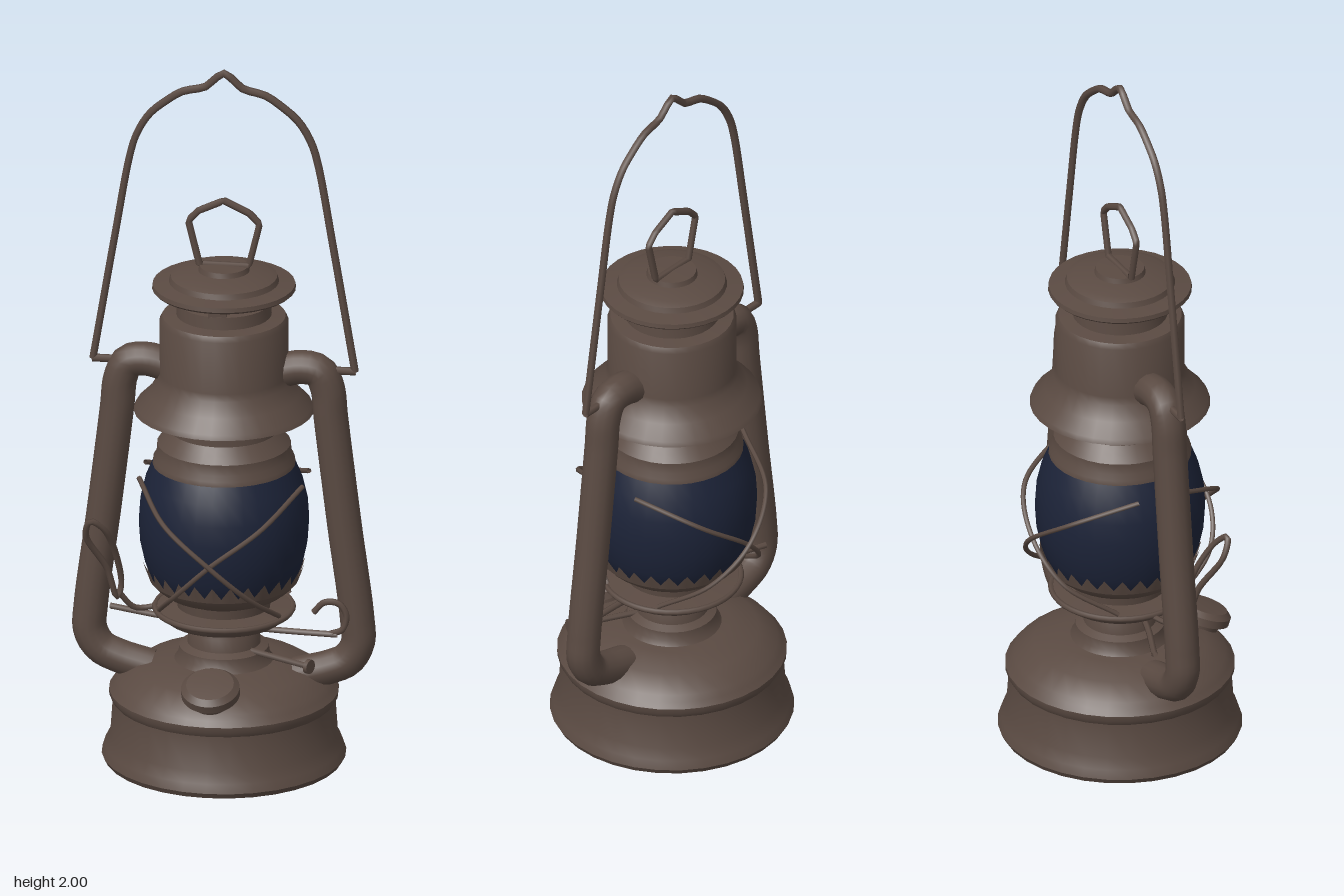
import * as THREE from 'three';
import { toCreasedNormals } from 'three/addons/utils/BufferGeometryUtils.js';

export function createModel() {
  const model = new THREE.Group();
  model.name = 'lantern';

  const metal = new THREE.MeshStandardMaterial({ color: 0x5a4a42, side: THREE.DoubleSide });
  metal.name = 'rusty metal';
  const glass = new THREE.MeshStandardMaterial({ color: 0x1c2338, side: THREE.DoubleSide });
  glass.name = 'dark blue glass';

  function add(name, geometry, material = metal) {
    const mesh = new THREE.Mesh(geometry, material);
    mesh.name = name;
    model.add(mesh);
    return mesh;
  }
  // Turned part from [radius, height] pairs, listed bottom to top
  function turned(name, profile, material) {
    const pts = profile.map(([r, y]) => new THREE.Vector2(r, y));
    return add(name, toCreasedNormals(new THREE.LatheGeometry(pts, 32), 0.6), material);
  }
  // Round wire or pipe through [x, y, z] points; straight = polyline corners
  function wire(name, points, radius, { straight = false, closed = false, sides = 6, steps = 40 } = {}) {
    const v = points.map(p => new THREE.Vector3(...p));
    let curve;
    if (straight) {
      curve = new THREE.CurvePath();
      const end = closed ? v.length : v.length - 1;
      for (let i = 0; i < end; i++) curve.add(new THREE.LineCurve3(v[i], v[(i + 1) % v.length]));
    } else {
      curve = new THREE.CatmullRomCurve3(v, closed, 'centripetal');
    }
    return add(name, new THREE.TubeGeometry(curve, steps, radius, sides, closed));
  }
  function ring(name, r, y, thickness) {
    const mesh = add(name, new THREE.TorusGeometry(r, thickness, 6, 40));
    mesh.rotation.x = Math.PI / 2;
    mesh.position.y = y;
  }

  // Fuel tank with rolled foot and domed shoulder
  turned('fuelTank', [[0, 0.005], [0.325, 0], [0.333, 0.015], [0.325, 0.04], [0.31, 0.07], [0.303, 0.17],
    [0.312, 0.185], [0.313, 0.2], [0.3, 0.215], [0.288, 0.23], [0.235, 0.265], [0.16, 0.285], [0, 0.295]]);

  // Filler cap, tilted towards the front
  const cap = turned('fillerCap', [[0.055, -0.04], [0.06, -0.012], [0.08, -0.01], [0.08, 0.012], [0.065, 0.026], [0, 0.032]]);
  cap.position.set(0, 0.283, 0.25);
  cap.rotation.x = 0.36;

  // Burner neck, plate and gallery holding the globe
  turned('burnerNeck', [[0.14, 0.28], [0.125, 0.3], [0.122, 0.325], [0.1, 0.335], [0.096, 0.37], [0.085, 0.395], [0.085, 0.41]]);
  turned('burnerPlate', [[0.08, 0.4], [0.16, 0.405], [0.178, 0.42], [0.185, 0.438], [0.13, 0.445]]);
  turned('gallery', [[0.125, 0.43], [0.13, 0.47], [0.165, 0.485], [0.19, 0.505], [0.205, 0.53]]);
  ring('lowerGuardRing', 0.188, 0.435, 0.008);

  // Crown of teeth gripping the globe
  const teeth = 28;
  const crown = new THREE.CylinderGeometry(0.221, 0.203, 0.05, teeth * 2, 1, true);
  const cp = crown.attributes.position;
  for (let i = 1; i <= teeth * 2; i += 2) {
    cp.setXYZ(i, cp.getX(i) * 0.93, -0.012, cp.getZ(i) * 0.93);
  }
  crown.computeVertexNormals();
  add('galleryTeeth', crown).position.y = 0.545;

  // Glass globe
  turned('globe', [[0.17, 0.49], [0.196, 0.52], [0.215, 0.57], [0.228, 0.63], [0.232, 0.69], [0.228, 0.75], [0.214, 0.81], [0.193, 0.86]], glass);

  // Collar above the globe
  turned('globeCollar', [[0.185, 0.848], [0.195, 0.853], [0.193, 0.87], [0.184, 0.885], [0.182, 0.915], [0.165, 0.935],
    [0.148, 0.955], [0.145, 1.05]]);

  // Chimney hood with flared skirt
  turned('chimneyHood', [[0.145, 1.035], [0.235, 1.008], [0.246, 1.012], [0.24, 1.025], [0.205, 1.06], [0.182, 1.1], [0.176, 1.12], [0.176, 1.27],
    [0.168, 1.285], [0.13, 1.29], [0.127, 1.325], [0.08, 1.33]]);

  // Vent core and posts under the cap
  turned('ventCore', [[0.075, 1.28], [0.075, 1.38]]);
  for (let i = 0; i < 4; i++) {
    const a = i * Math.PI / 2;
    const post = add('ventPost', new THREE.BoxGeometry(0.012, 0.06, 0.05));
    post.position.set(Math.cos(a) * 0.119, 1.345, -Math.sin(a) * 0.119);
    post.rotation.y = a;
  }
  turned('chimneyCap', [[0, 1.368], [0.19, 1.36], [0.196, 1.366], [0.194, 1.378], [0.15, 1.385], [0.145, 1.4], [0.125, 1.408],
    [0.07, 1.416], [0.066, 1.43], [0, 1.433]]);

  // Lifting ring on the cap
  wire('liftingRing', [[-0.068, 1.43, 0], [-0.098, 1.555, 0], [-0.07, 1.585, 0], [0, 1.618, 0], [0.07, 1.585, 0],
    [0.098, 1.555, 0], [0.068, 1.43, 0]], 0.01, { straight: true, closed: true, steps: 56 });

  // Side air pipes and bail pivots, mirrored
  for (const s of [1, -1]) {
    wire('airPipe', [[0.15, 1.13], [0.215, 1.145], [0.262, 1.135], [0.284, 1.09], [0.294, 1.0], [0.33, 0.7], [0.366, 0.42],
      [0.368, 0.35], [0.34, 0.3], [0.29, 0.275], [0.2, 0.25]].map(([x, y]) => [s * x, y, 0]), 0.047, { sides: 14, steps: 64 });
    wire('bailPivot', [[s * 0.27, 1.14, 0], [s * 0.362, 1.14, 0]], 0.011, { steps: 2 });
  }

  // Carrying bail with a small peak at the top
  const half = [[0.36, 1.14], [0.35, 1.2], [0.3, 1.5], [0.258, 1.74], [0.24, 1.8], [0.205, 1.86], [0.16, 1.9], [0.115, 1.93],
    [0.05, 1.948], [0.025, 1.972]];
  wire('carryingBail', [...half.map(([x, y]) => [-x, y, 0]), [0, 1.989, 0], ...half.slice().reverse().map(([x, y]) => [x, y, 0])],
    0.011, { steps: 90 });

  // Crossed guard wires in front of and behind the globe
  for (const sz of [1, -1]) {
    for (const sx of [1, -1]) {
      wire('guardWire', [[-0.225, 0.82, 0.06], [-0.13, 0.745, 0.225], [0, 0.65, 0.272 + sx * 0.005], [0.1, 0.545, 0.225],
        [0.165, 0.45, 0.09]].map(([x, y, z]) => [sx * x, y, sz * z]), 0.007);
    }
  }

  // Globe lifting rod with end hook
  wire('liftingRod', [[-0.32, 0.395, -0.06], [-0.15, 0.395, 0.0], [0.12, 0.395, 0.05], [0.32, 0.393, 0.06]], 0.009);
  wire('rodHook', [[0.3, 0.393, 0.058], [0.335, 0.41, 0.06], [0.345, 0.45, 0.06], [0.325, 0.483, 0.06], [0.285, 0.485, 0.06],
    [0.255, 0.455, 0.06]], 0.009);

  // Looped lever on the right side
  wire('leverLoop', [[-0.285, 0.47, 0.06], [-0.31, 0.56, 0.08], [-0.36, 0.67, 0.13], [-0.345, 0.72, 0.15], [-0.31, 0.69, 0.13],
    [-0.285, 0.6, 0.08], [-0.275, 0.5, 0.05]], 0.009, { closed: true, steps: 48 });
  wire('leverArm', [[-0.28, 0.48, 0.055], [-0.24, 0.43, 0.03], [-0.17, 0.43, 0]], 0.008, { steps: 12 });

  // Wick adjuster with thumb wheel
  wire('wickRod', [[0.06, 0.33, 0.04], [0.26, 0.33, 0.15]], 0.009, { steps: 2 });
  const wheel = add('wickWheel', new THREE.CylinderGeometry(0.02, 0.02, 0.012, 12));
  wheel.position.set(0.255, 0.33, 0.147);
  wheel.quaternion.setFromUnitVectors(new THREE.Vector3(0, 1, 0), new THREE.Vector3(0.2, 0, 0.11).normalize());

  return model;
}
